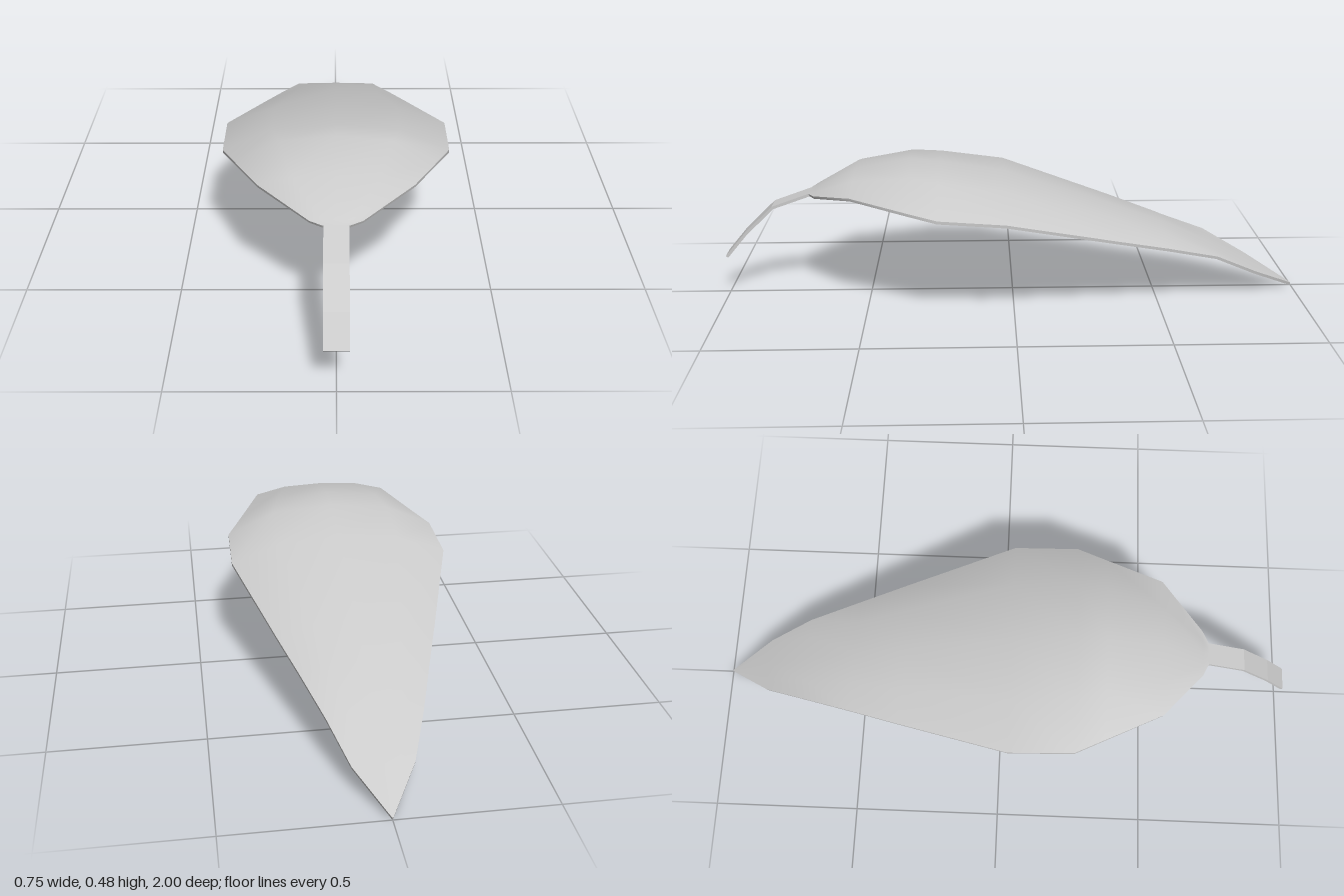
import * as THREE from 'three';
import { mergeGeometries } from 'three/addons/utils/BufferGeometryUtils.js';

const THICKNESS = 0.01;

// Surface through rows of points, smooth within itself
function grid(rows) {
  const cols = rows[0].length;
  const index = [];
  for (let i = 0; i < rows.length - 1; i++) {
    for (let j = 0; j < cols - 1; j++) {
      const a = i * cols + j, d = a + cols;
      index.push(a, a + 1, d + 1, a, d + 1, d);
    }
  }
  const geometry = new THREE.BufferGeometry().setFromPoints(rows.flat());
  geometry.setIndex(index);
  geometry.computeVertexNormals();
  return geometry;
}

// Thin solid from cross-sections [z, half width, middle y, edge y], front to back
function sheet(sections, columns) {
  const last = sections.length - 1;
  const top = sections.map(([z, w, mid, edge]) =>
    columns.map(([t, rise]) => new THREE.Vector3(t * w, edge + (mid - edge) * rise, z)));

  // Offset the underside square to the slope of the middle line
  const bottom = top.map((row, i) => {
    const p = sections[Math.max(i - 1, 0)], q = sections[Math.min(i + 1, last)];
    const down = new THREE.Vector3(0, q[0] - p[0], p[2] - q[2]).setLength(THICKNESS);
    return row.map(v => v.clone().add(down));
  });

  // Rim around the outline
  const end = columns.length - 1;
  const loop = [];
  for (let j = 0; j < end; j++) loop.push([0, j]);
  for (let i = 0; i < last; i++) loop.push([i, end]);
  for (let j = end; j > 0; j--) loop.push([last, j]);
  for (let i = last; i >= 0; i--) loop.push([i, 0]);
  const rim = loop.map(([i, j]) => [top[i][j], bottom[i][j]]);

  return mergeGeometries([grid(top), grid(bottom.map(row => [...row].reverse())), grid(rim)]);
}

export function createModel() {
  const group = new THREE.Group();

  // Arched blade, widest near the middle and tapering to a drooping tip
  const blade = new THREE.Mesh(
    sheet([
      [0.70, 0.04, 0.372, 0.372],
      [0.68, 0.08, 0.380, 0.376],
      [0.54, 0.24, 0.450, 0.417],
      [0.35, 0.325, 0.485, 0.392],
      [0.25, 0.37, 0.473, 0.380],
      [0.03, 0.373, 0.440, 0.365],
      [-0.35, 0.258, 0.313, 0.264],
      [-0.52, 0.205, 0.252, 0.219],
      [-0.70, 0.15, 0.172, 0.168],
      [-0.85, 0.095, 0.092, 0.090],
      [-1.00, 0.002, 0.010, 0.010],
    ], [[-1, 0], [-0.56, 0.8], [0, 1], [0.56, 0.8], [1, 0]]),
    new THREE.MeshStandardMaterial({ color: 0xcccccc }));
  blade.name = 'leafBlade';

  // Flat stalk bending down at the front
  const stalk = new THREE.Mesh(
    sheet([
      [1.00, 0.038, 0.147, 0.147],
      [0.93, 0.038, 0.230, 0.230],
      [0.83, 0.038, 0.326, 0.326],
      [0.70, 0.038, 0.372, 0.372],
    ], [[-1, 0], [1, 0]]),
    new THREE.MeshStandardMaterial({ color: 0xcccccc, flatShading: true }));
  stalk.name = 'stalk';

  group.add(blade, stalk);
  return group;
}
